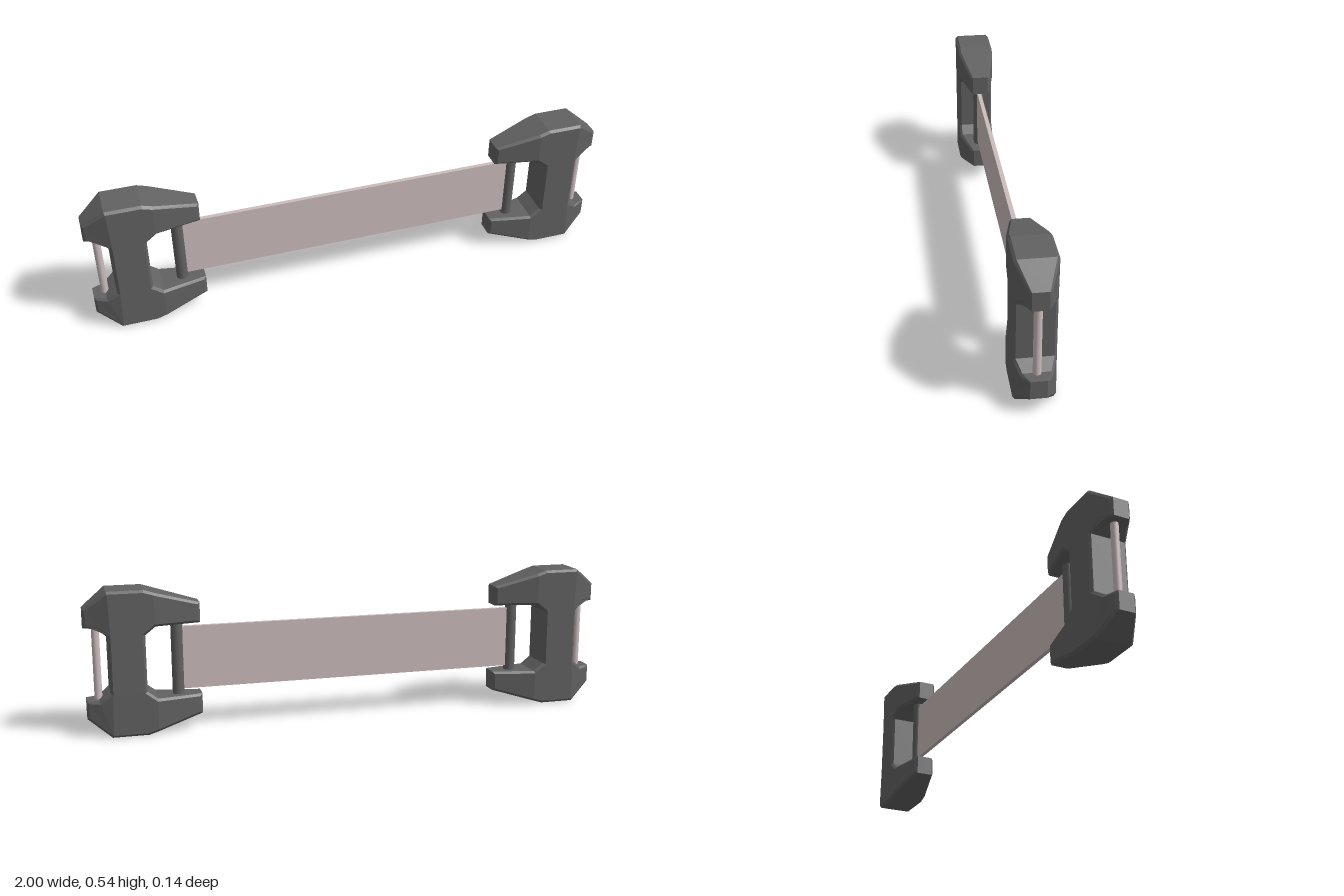
import * as THREE from 'three';

const MID = 0.27;     // height of the centre line
const BEVEL = 0.009;

// Upper half of the H-shaped bracket outline, counter-clockwise, about the centre line
const HALF = [
  [0.915, 0.105], [0.955, 0.135], [1.0, 0.135], [1.0, 0.203], [0.915, 0.27], [0.783, 0.27],
  [0.745, 0.258], [0.58, 0.21], [0.58, 0.135], [0.745, 0.135], [0.783, 0.105],
];

// Half thickness: full in the middle, tapering to both ends
function halfDepth(x) {
  if (x > 0.915) return THREE.MathUtils.mapLinear(x, 0.915, 1.0, 0.072, 0.037);
  if (x < 0.745) return THREE.MathUtils.mapLinear(x, 0.745, 0.58, 0.072, 0.04);
  return 0.072;
}

function bracketGeometry() {
  const outline = [...HALF, ...HALF.map(([x, y]) => [x, -y]).reverse()]
    .map(([x, y]) => new THREE.Vector2(x, y));
  const n = outline.length;
  const inward = (a, b) => new THREE.Vector2(a.y - b.y, b.x - a.x).normalize();

  // Mitred inset of the outline for the bevelled caps
  const inset = outline.map((p, i) => {
    const n1 = inward(outline[(i + n - 1) % n], p);
    const n2 = inward(p, outline[(i + 1) % n]);
    const shift = n1.clone().add(n2).multiplyScalar(BEVEL / (1 + n1.dot(n2)));
    return p.clone().add(shift);
  });

  // Four rings from back cap to front cap
  const positions = [];
  const ring = (pts, sign, drop) => pts.forEach((p, i) =>
    positions.push(p.x, p.y + MID, sign * (halfDepth(outline[i].x) - drop)));
  ring(inset, -1, 0);
  ring(outline, -1, BEVEL);
  ring(outline, 1, BEVEL);
  ring(inset, 1, 0);

  const index = [];
  for (let k = 0; k < 3; k++) {
    for (let i = 0; i < n; i++) {
      const j = (i + 1) % n;
      const a = k * n + i, b = k * n + j;
      index.push(a, b, b + n, a, b + n, a + n);
    }
  }

  // Caps split into flat convex panels: outer arm, inner arm, head, column
  const upper = [[0, 1, 2, 3, 4], [6, 7, 8, 9], [0, 4, 5, 6, 9, 10]];
  const lower = upper.map(f => f.map(i => n - 1 - i).reverse());
  for (const f of [...upper, ...lower, [0, 10, 11, 21]]) {
    for (let i = 1; i < f.length - 1; i++) {
      index.push(3 * n + f[0], 3 * n + f[i], 3 * n + f[i + 1]);
      index.push(f[0], f[i + 1], f[i]);
    }
  }

  const indexed = new THREE.BufferGeometry();
  indexed.setAttribute('position', new THREE.Float32BufferAttribute(positions, 3));
  indexed.setIndex(index);
  const geometry = indexed.toNonIndexed();
  geometry.computeVertexNormals();
  return geometry;
}

export function createModel() {
  const model = new THREE.Group();
  const dark = new THREE.MeshStandardMaterial({ color: 0x626262, flatShading: true });
  const darkSmooth = new THREE.MeshStandardMaterial({ color: 0x626262 });
  const pale = new THREE.MeshStandardMaterial({ color: 0xcdbdbd });

  const add = (parent, name, geometry, material, x = 0, y = 0) => {
    const mesh = new THREE.Mesh(geometry, material);
    mesh.name = name;
    mesh.position.set(x, y, 0);
    parent.add(mesh);
  };

  // End pieces: bracket with a pin for the strap and a thin outer bar
  const bracket = bracketGeometry();
  const pin = new THREE.CylinderGeometry(0.022, 0.022, 0.3, 24);
  const bar = new THREE.CylinderGeometry(0.014, 0.014, 0.3, 24);
  for (const side of ['left', 'right']) {
    const end = new THREE.Group();
    end.name = side + 'End';
    add(end, 'bracket', bracket, dark);
    add(end, 'strapPin', pin, darkSmooth, 0.664, MID);
    add(end, 'outerBar', bar, pale, 0.956, MID);
    if (side === 'right') end.rotation.y = Math.PI;
    model.add(end);
  }

  // Flat strap joining the two pins
  add(model, 'strap', new THREE.BoxGeometry(1.3, 0.236, 0.016), pale, 0, MID);
  return model;
}
